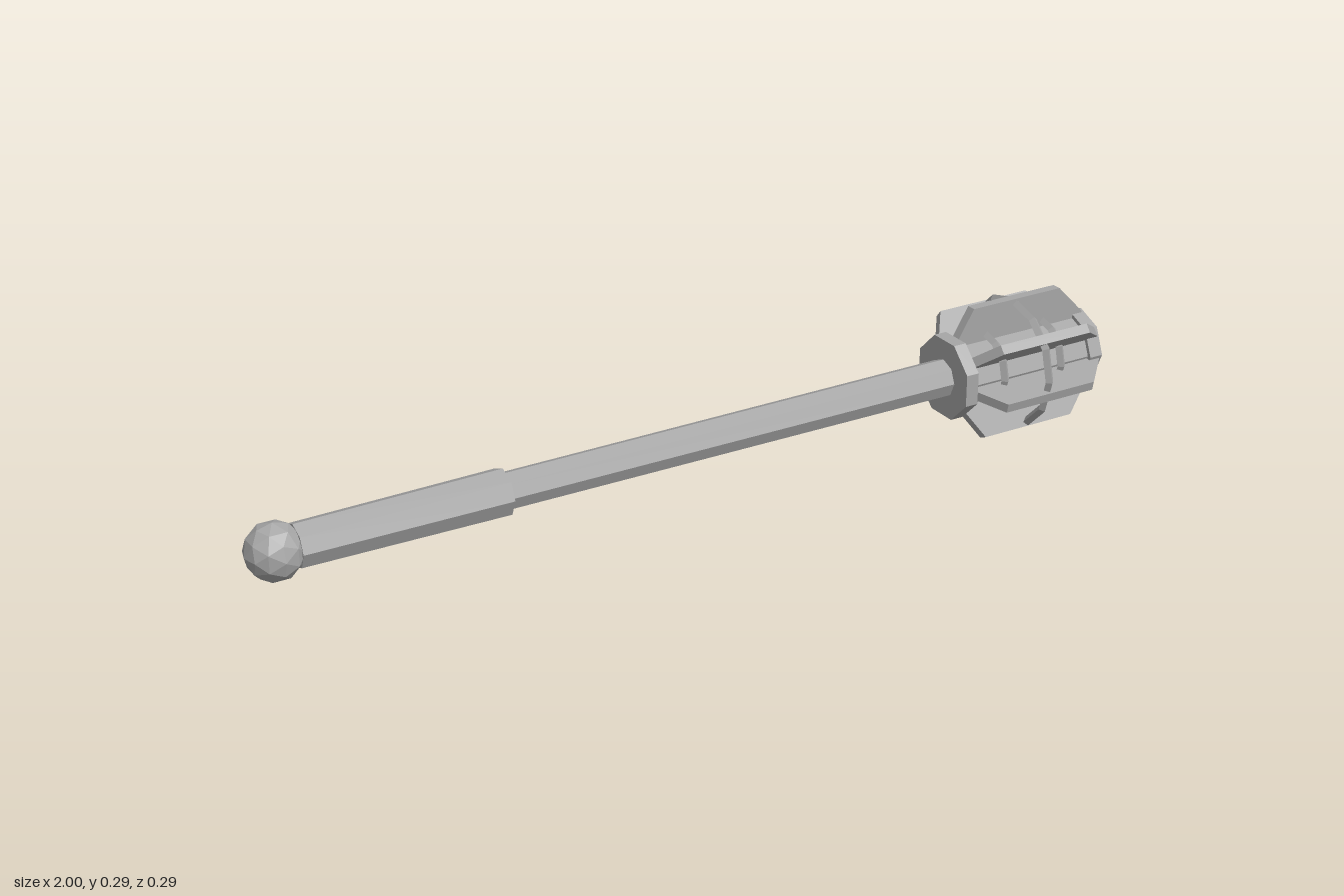
import * as THREE from 'three';

export function createModel() {
  const model = new THREE.Group();
  model.name = 'mace';
  const grey = new THREE.MeshStandardMaterial({ color: 0xa6a6a6, flatShading: true });
  grey.name = 'steel grey';
  const AXIS_Y = 0.15;

  function add(name, geometry, x = 0) {
    const mesh = new THREE.Mesh(geometry, grey);
    mesh.name = name;
    mesh.position.set(x, AXIS_Y, 0);
    model.add(mesh);
    return mesh;
  }

  // Octagonal prism along x, from x0 to x1
  function rod(name, x0, x1, r0, r1, turn = 0) {
    const g = new THREE.CylinderGeometry(r1, r0, x1 - x0, 8);
    g.rotateY(turn);
    g.rotateZ(-Math.PI / 2);
    return add(name, g, (x0 + x1) / 2);
  }

  // Faceted ring around the x axis
  function ring(name, x, radius, tube, sides) {
    const g = new THREE.TorusGeometry(radius, tube, 4, sides);
    g.rotateY(Math.PI / 2);
    return add(name, g, x);
  }

  // Handle
  add('pommel', new THREE.IcosahedronGeometry(0.06, 1), -0.94);
  rod('grip', -0.9, -0.46, 0.046, 0.05);
  rod('shaft', -0.47, 0.6, 0.039, 0.042);

  // Head body
  rod('collar', 0.59, 0.62, 0.093, 0.093, Math.PI / 8);
  rod('headCore', 0.615, 0.93, 0.072, 0.072);
  rod('endCap', 0.925, 0.957, 0.081, 0.081);
  add('endBall', new THREE.IcosahedronGeometry(0.049, 1), 0.951);

  // Seven flanges with bevelled corners
  const profile = [[0.62, 0.04], [0.62, 0.085], [0.657, 0.147], [0.885, 0.147], [0.95, 0.08], [0.95, 0.04]];
  const shape = new THREE.Shape(profile.map(([x, r]) => new THREE.Vector2(x, r)));
  const flange = new THREE.ExtrudeGeometry(shape, { depth: 0.021, bevelEnabled: false });
  flange.translate(0, 0, -0.0105);
  for (let i = 0; i < 7; i++) {
    add('flange' + (i + 1), flange).rotation.x = (i * Math.PI * 2) / 7;
  }

  // Hoops binding the flanges
  ring('outerHoop', 0.77, 0.137, 0.01, 12);
  for (const x of [0.695, 0.845]) ring('innerHoop', x, 0.081, 0.01, 12);

  return model;
}
